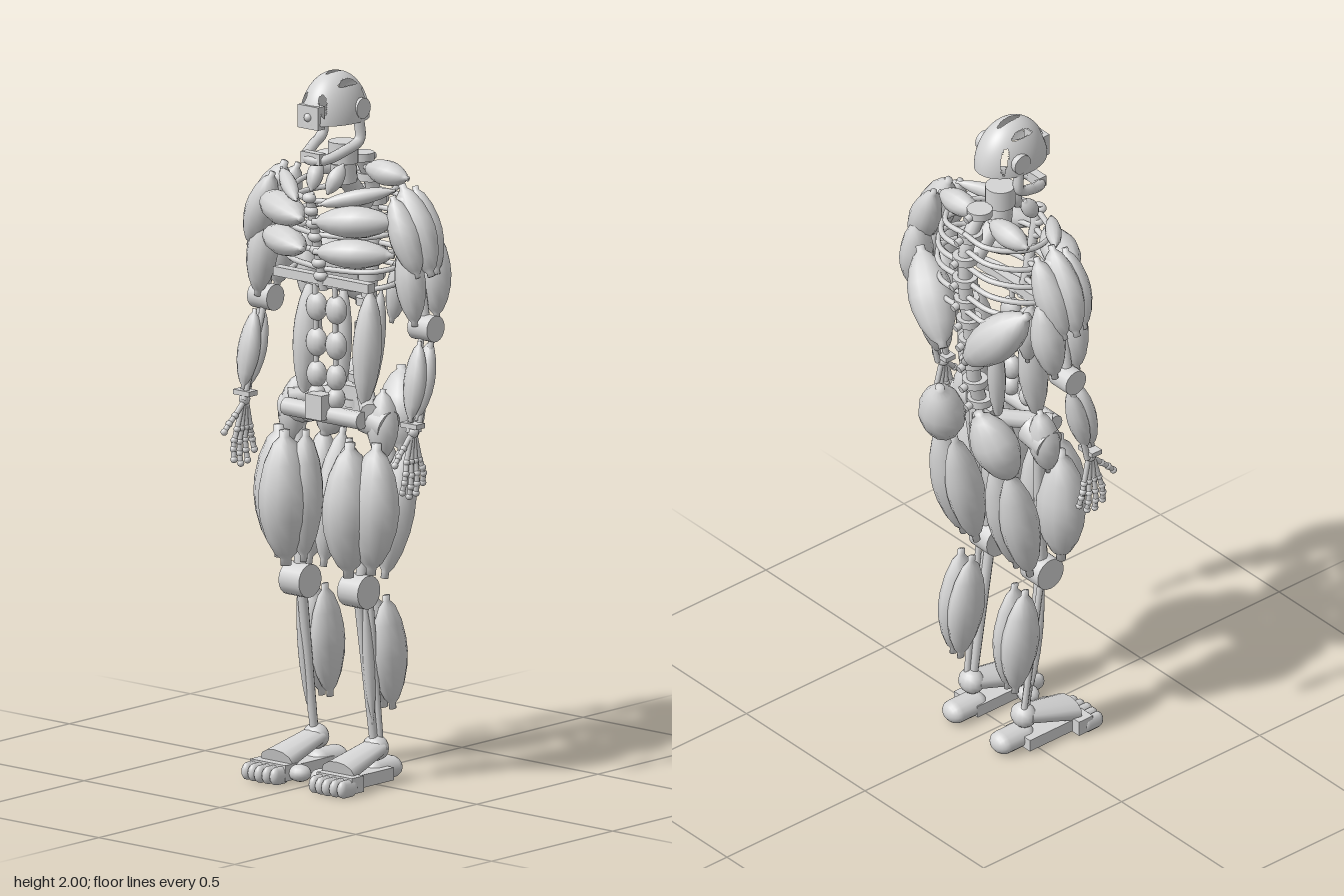
import * as THREE from 'three';

const grey = new THREE.MeshStandardMaterial({ color: 0xd4d4d4, side: THREE.DoubleSide });
grey.name = 'light grey';

const V = (p, s = 1) => new THREE.Vector3(p[0] * s, p[1], p[2]);

export function createModel() {
  const model = new THREE.Group();

  const add = (name, geo, pos = [0, 0, 0], s = 1) => {
    const m = new THREE.Mesh(geo, grey);
    m.name = name;
    m.position.copy(V(pos, s));
    model.add(m);
    return m;
  };

  // Turns a y-aligned mesh so that it starts at a and points to b
  const aim = (m, a, b) => {
    const y = b.clone().sub(a).normalize();
    const hint = Math.abs(y.z) > 0.95 ? new THREE.Vector3(0, 1, 0) : new THREE.Vector3(0, 0, 1);
    const x = y.clone().cross(hint).normalize();
    const z = x.clone().cross(y);
    m.quaternion.setFromRotationMatrix(new THREE.Matrix4().makeBasis(x, y, z));
  };

  // Spindle with short tendon stubs; w = half width, d = half depth
  const muscle = (name, s, p, q, w, d = w) => {
    const a = V(p, s), b = V(q, s), len = a.distanceTo(b), t = 0.2;
    const profile = [[0, 0], [t, 0], [t, 0.05], [0.46, 0.1], [0.78, 0.24], [0.96, 0.4], [1, 0.52],
      [0.93, 0.65], [0.71, 0.8], [0.41, 0.91], [t, 0.95], [t, 1], [0, 1]];
    const m = add(name, new THREE.LatheGeometry(profile.map(([r, y]) => new THREE.Vector2(r, y * len)), 12), p, s);
    m.scale.set(w, 1, d);
    aim(m, a, b);
  };

  const bone = (name, s, p, q, r0, r1 = r0, sides = 10) => {
    const a = V(p, s), b = V(q, s), len = a.distanceTo(b);
    const geo = new THREE.CylinderGeometry(r1, r0, len, sides).translate(0, len / 2, 0);
    aim(add(name, geo, p, s), a, b);
  };

  const ball = (name, s, p, rx, ry = rx, rz = rx) =>
    add(name, new THREE.SphereGeometry(1, 14, 10).scale(rx, ry, rz), p, s);
  const box = (name, s, p, w, h, d) => add(name, new THREE.BoxGeometry(w, h, d), p, s);
  const tube = (name, s, pts, r, n = 24) =>
    add(name, new THREE.TubeGeometry(new THREE.CatmullRomCurve3(pts.map(p => V(p, s))), n, r, 8));

  // Skull dome with slots, each given as centre x, centre z, half width, half length
  const dome = new THREE.SphereGeometry(1, 96, 40, 0, Math.PI * 2, 0, Math.PI / 2);
  const slots = [[0, -0.06, 0.11, 0.36], [0.58, 0.0, 0.08, 0.32], [0.66, -0.6, 0.09, 0.12], [0.42, 0.78, 0.14, 0.08]];
  const P = dome.attributes.position, keep = [];
  for (let i = 0; i < dome.index.count; i += 3) {
    const t = [0, 1, 2].map(k => dome.index.getX(i + k));
    const x = Math.abs(t.reduce((v, k) => v + P.getX(k), 0) / 3);
    const z = t.reduce((v, k) => v + P.getZ(k), 0) / 3;
    if (!slots.some(([cx, cz, w, l]) => ((x - cx) / w) ** 2 + ((z - cz) / l) ** 2 < 1)) keep.push(...t);
  }
  dome.setIndex(keep);
  dome.scale(0.083, 0.137, 0.112);
  add('skull', dome, [0, 1.863, 0.027]);
  box('nose', 1, [0, 1.885, 0.122], 0.074, 0.065, 0.03);
  ball('noseTip', 1, [0, 1.885, 0.136], 0.012);

  // Jaw and neck
  tube('jaw', 1, [[-0.066, 1.87, 0], [-0.068, 1.81, 0.0], [-0.058, 1.785, 0.05], [-0.035, 1.765, 0.105],
    [0, 1.762, 0.12], [0.035, 1.765, 0.105], [0.058, 1.785, 0.05], [0.068, 1.81, 0.0], [0.066, 1.87, 0]], 0.015, 48);
  box('chin', 1, [0, 1.768, 0.115], 0.07, 0.032, 0.025);
  bone('neck', 1, [0, 1.735, -0.01], [0, 1.795, -0.01], 0.042, 0.042, 16);
  bone('neckMiddle', 1, [0, 1.68, -0.015], [0, 1.735, -0.01], 0.036, 0.036, 16);
  bone('neckBase', 1, [0, 1.6, -0.1], [0, 1.69, -0.02], 0.026, 0.026, 12);

  // Spine of stacked discs
  const spine = new THREE.CatmullRomCurve3([[0, 1.74, -0.085], [0, 1.65, -0.13], [0, 1.53, -0.137],
    [0, 1.33, -0.115], [0, 1.2, -0.105], [0, 1.05, -0.065]].map(p => V(p)));
  add('spinalCord', new THREE.TubeGeometry(spine, 32, 0.021, 10));
  for (let i = 0; i < 11; i++) {
    const { y, z } = spine.getPointAt(i / 10);
    add('vertebra', new THREE.CylinderGeometry(0.036, 0.036, 0.022, 14), [0, y, z]);
    bone('spinousProcess', 1, [0, y, z - 0.02], [0, y - 0.008, z - 0.05], 0.011);
  }

  // Sternum and lower rib bar
  bone('sternum', 1, [0, 1.39, 0.07], [0, 1.67, 0.13], 0.014);
  for (let i = 0; i < 7; i++) ball('sternumJoint', 1, [0, 1.43 + i * 0.038, 0.084 + i * 0.008], 0.022, 0.015, 0.018);
  box('lowerRibBar', 1, [0, 1.418, 0.07], 0.35, 0.026, 0.03);

  // Pelvis
  bone('pelvisBar', 1, [-0.14, 1.04, 0.07], [0.14, 1.04, 0.07], 0.025);
  box('pubicBlock', 1, [0, 1.065, 0.09], 0.06, 0.07, 0.05);
  box('sacrum', 1, [0, 1.05, -0.06], 0.09, 0.1, 0.05);

  for (const s of [1, -1]) {
    const M = (n, ...a) => muscle(n, s, ...a);
    const B = (n, ...a) => bone(n, s, ...a);

    // Head sides
    add('ear', new THREE.CylinderGeometry(0.029, 0.029, 0.022, 14).rotateZ(Math.PI / 2), [0.073, 1.9, 0], s);
    box('cheek', s, [0.064, 1.88, 0.05], 0.016, 0.035, 0.05);

    // Ribs
    for (let i = 0; i < 6; i++) {
      const y = 1.675 - i * 0.05, w = [0.15, 0.175, 0.19, 0.195, 0.19, 0.18][i], f = 0.128 - i * 0.012;
      tube('rib', s, [[0, y + 0.015, -0.14], [w * 0.55, y + 0.01, -0.135], [w * 0.95, y, -0.07],
        [w, y - 0.01, 0.0], [w * 0.75, y - 0.02, f * 0.6], [0, y - 0.025, f]], 0.008);
    }

    // Collar, neck, chest and back
    M('collarbone', [0.04, 1.645, 0.14], [0.21, 1.69, 0.01], 0.023);
    M('neckMuscle', [0.03, 1.665, 0.09], [0.045, 1.745, 0.04], 0.024);
    M('trapezius', [0.025, 1.715, -0.07], [0.185, 1.705, -0.07], 0.036);
    M('upperChest', [0.02, 1.595, 0.14], [0.245, 1.61, 0.045], 0.046, 0.052);
    M('lowerChest', [0.02, 1.51, 0.135], [0.235, 1.515, 0.045], 0.042, 0.05);
    M('backMuscle', [0.045, 1.305, -0.178], [0.228, 1.52, -0.105], 0.064, 0.064);
    M('flankMuscle', [0.15, 1.3, -0.04], [0.19, 1.52, -0.06], 0.035);

    // Abdomen
    for (const [y, r] of [[1.335, 0.034], [1.235, 0.034], [1.145, 0.031], [1.085, 0.026]])
      ball('abdominal', s, [0.036, y, 0.06], r, r * 1.2, 0.026);
    B('abdominalTendon', [0.036, 1.05, 0.06], [0.036, 1.42, 0.065], 0.008);
    M('oblique', [0.11, 1.06, 0.03], [0.11, 1.4, 0.0], 0.04, 0.044);
    M('lowerBackMuscle', [0.05, 1.06, -0.06], [0.07, 1.38, -0.09], 0.026);

    // Shoulder
    ball('shoulderJoint', s, [0.235, 1.65, -0.01], 0.035);
    M('frontDeltoid', [0.22, 1.68, 0.035], [0.31, 1.46, 0.03], 0.046, 0.044);
    M('sideDeltoid', [0.215, 1.705, -0.01], [0.325, 1.46, -0.01], 0.058, 0.047);
    M('rearDeltoid', [0.215, 1.69, -0.065], [0.315, 1.46, -0.045], 0.046, 0.045);

    // Upper arm
    B('humerus', [0.245, 1.65, -0.01], [0.295, 1.32, -0.02], 0.014);
    M('biceps', [0.255, 1.57, 0.02], [0.29, 1.32, 0.02], 0.045, 0.042);
    M('triceps', [0.26, 1.58, -0.085], [0.295, 1.33, -0.065], 0.046, 0.05);
    add('elbow', new THREE.CylinderGeometry(0.037, 0.037, 0.072, 18).rotateZ(Math.PI / 2), [0.295, 1.312, -0.02], s);

    // Forearm and wrist
    B('radius', [0.29, 1.3, -0.01], [0.303, 1.03, 0.06], 0.009);
    B('ulna', [0.315, 1.3, -0.025], [0.315, 1.03, 0.035], 0.009);
    M('forearmFront', [0.303, 1.28, 0.015], [0.308, 1.06, 0.06], 0.034, 0.028);
    M('forearmBack', [0.308, 1.28, -0.025], [0.31, 1.06, 0.035], 0.034, 0.028);
    box('wrist', s, [0.308, 1.05, 0.05], 0.06, 0.014, 0.035);
    ball('wristJoint', s, [0.31, 1.03, 0.05], 0.016);

    // Hand: palm bones, jointed fingers, thumb
    for (let i = 0; i < 4; i++) {
      const z = 0.025 + i * 0.018, drop = [0.03, 0.005, 0, 0.015][i], x = 0.312;
      const joints = [[0.31, 1.02, 0.042 + i * 0.006], [x, 0.95, z], [x + 0.004, 0.912 + drop / 2, z + (i - 1.5) * 0.005],
        [x + 0.003, 0.88 + drop, z + (i - 1.5) * 0.008], [x - 0.002, 0.852 + drop, z + (i - 1.5) * 0.01]];
      for (let k = 0; k < 4; k++) {
        B('fingerBone', joints[k], joints[k + 1], 0.0075, 0.0075, 8);
        ball('knuckle', s, joints[k + 1], 0.01);
      }
    }
    const thumb = [[0.308, 1.02, 0.06], [0.31, 0.99, 0.09], [0.312, 0.97, 0.112], [0.314, 0.95, 0.13]];
    for (let k = 0; k < 3; k++) {
      B('thumbBone', thumb[k], thumb[k + 1], 0.0075, 0.0075, 8);
      ball('thumbJoint', s, thumb[k + 1], 0.01);
    }

    // Hip
    B('hipJoint', [0.11, 1.04, 0.01], [0.185, 1.02, 0.01], 0.05, 0.045, 14);
    B('hipBone', [0.04, 1.07, -0.06], [0.15, 1.06, 0.05], 0.026);
    M('gluteus', [0.08, 1.15, -0.16], [0.145, 0.925, -0.09], 0.07, 0.064);
    M('hipMuscle', [0.155, 1.12, 0.0], [0.17, 0.92, 0.02], 0.045);

    // Thigh
    B('femur', [0.15, 1.03, 0.0], [0.11, 0.56, 0.045], 0.017);
    M('outerThigh', [0.18, 0.98, 0.055], [0.168, 0.61, 0.065], 0.075, 0.068);
    M('frontThigh', [0.12, 0.98, 0.098], [0.115, 0.6, 0.098], 0.07, 0.085);
    M('innerThigh', [0.08, 0.98, 0.055], [0.08, 0.61, 0.065], 0.048, 0.058);
    M('outerHamstring', [0.15, 0.96, -0.105], [0.14, 0.58, -0.022], 0.054, 0.056);
    M('innerHamstring', [0.085, 0.96, -0.105], [0.085, 0.58, -0.022], 0.047, 0.056);

    // Knee and shin
    add('knee', new THREE.CylinderGeometry(0.047, 0.047, 0.075, 20).rotateZ(Math.PI / 2), [0.108, 0.553, 0.048], s);
    B('tibia', [0.105, 0.54, 0.045], [0.11, 0.1, -0.015], 0.015, 0.012);
    B('fibula', [0.13, 0.53, 0.025], [0.12, 0.1, -0.03], 0.009);
    M('shinMuscle', [0.122, 0.53, 0.04], [0.118, 0.17, 0.0], 0.016);
    M('outerCalf', [0.135, 0.53, -0.035], [0.13, 0.205, -0.068], 0.042, 0.06);
    M('innerCalf', [0.09, 0.53, -0.035], [0.1, 0.205, -0.068], 0.037, 0.06);

    // Foot
    ball('ankle', s, [0.11, 0.1, -0.02], 0.04, 0.036, 0.034);
    const instep = add('instep', new THREE.CylinderGeometry(0.042, 0.058, 0.165, 12), [0.112, 0.08, 0.06], s);
    instep.scale.z = 0.55;
    aim(instep, V([0.112, 0.055, 0.14], s), V([0.11, 0.1, -0.02], s));
    const heel = add('heel', new THREE.CapsuleGeometry(0.032, 0.07, 6, 14).rotateX(Math.PI / 2), [0.1, 0.034, -0.053], s);
    heel.scale.x = 1.25;
    box('sole', s, [0.11, 0.03, 0.055], 0.1, 0.036, 0.19);
    box('ballOfFoot', s, [0.122, 0.032, 0.14], 0.13, 0.045, 0.05);
    ball('innerBall', s, [0.04, 0.03, 0.125], 0.034, 0.024, 0.03);
    for (let i = 0; i < 5; i++) {
      const toe = add('toe', new THREE.CapsuleGeometry(0.018, 0.035, 4, 10).rotateX(Math.PI / 2),
        [0.072 + i * 0.026, 0.026, 0.178 - Math.abs(i - 2) * 0.003], s);
      toe.scale.set(0.85, 1.4, 1);
    }
  }
  return model;
}
